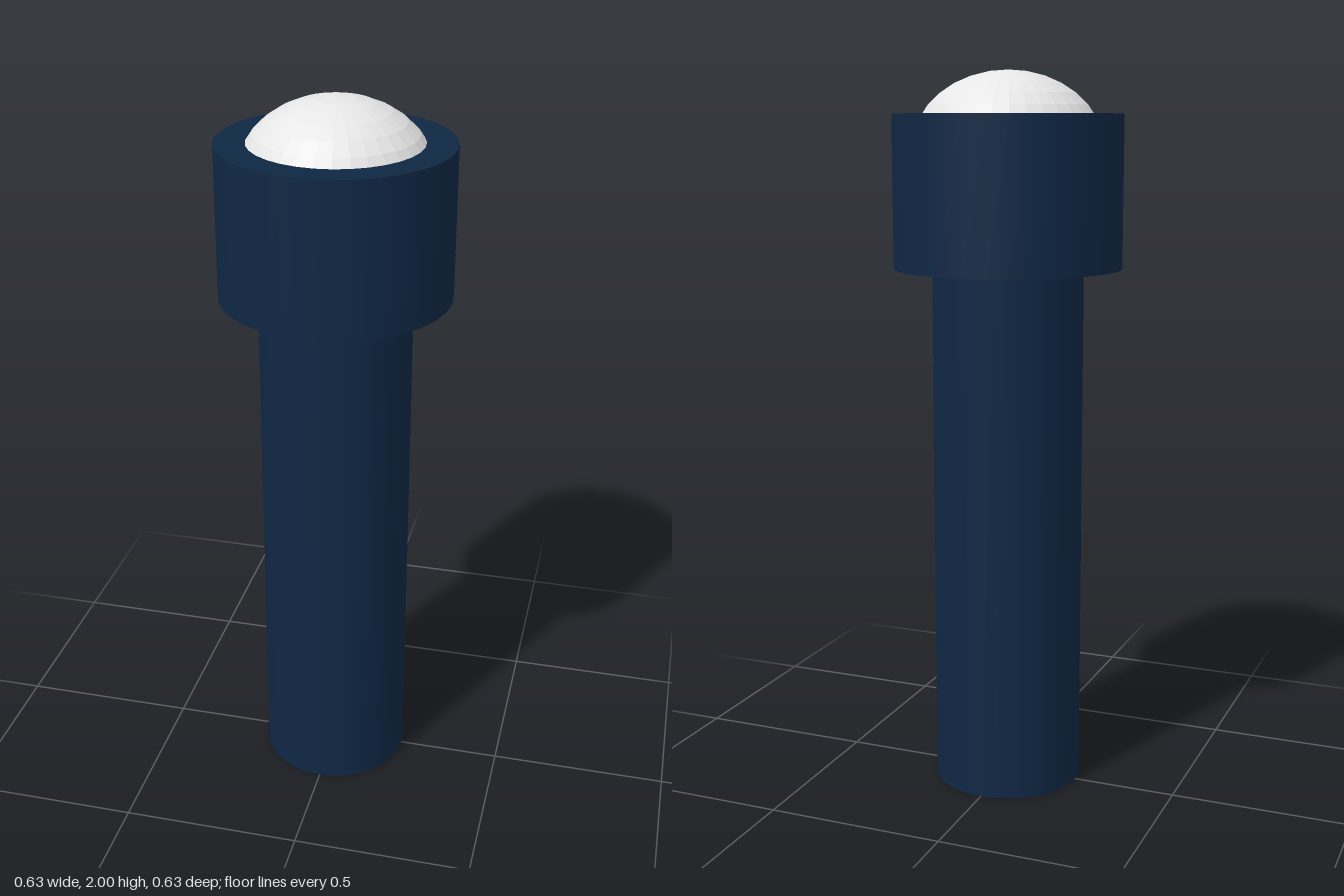
import * as THREE from 'three';

const SIDES = 32;

export function createModel() {
  const group = new THREE.Group();
  const navy = new THREE.MeshStandardMaterial({ color: 0x0f2744 });
  navy.name = 'navy';
  const white = new THREE.MeshStandardMaterial({ color: 0xe6e6e6, flatShading: true });
  white.name = 'white';

  const add = (name, geometry, material, y) => {
    const mesh = new THREE.Mesh(geometry, material);
    mesh.name = name;
    mesh.position.y = y;
    group.add(mesh);
    return mesh;
  };
  // Upright cylinder given by its radius and its bottom and top heights
  const drum = (name, radius, bottom, top) =>
    add(name, new THREE.CylinderGeometry(radius, radius, top - bottom, SIDES), navy, (bottom + top) / 2);

  // Long handle and wider collar
  drum('shaft', 0.208, 0, 1.47);
  drum('head', 0.314, 1.47, 1.885);

  // Squashed faceted ball set into the head, its cap showing above
  const dome = add('dome', new THREE.SphereGeometry(0.26, SIDES, 16), white, 1.792);
  dome.scale.y = 0.8;

  return group;
}
